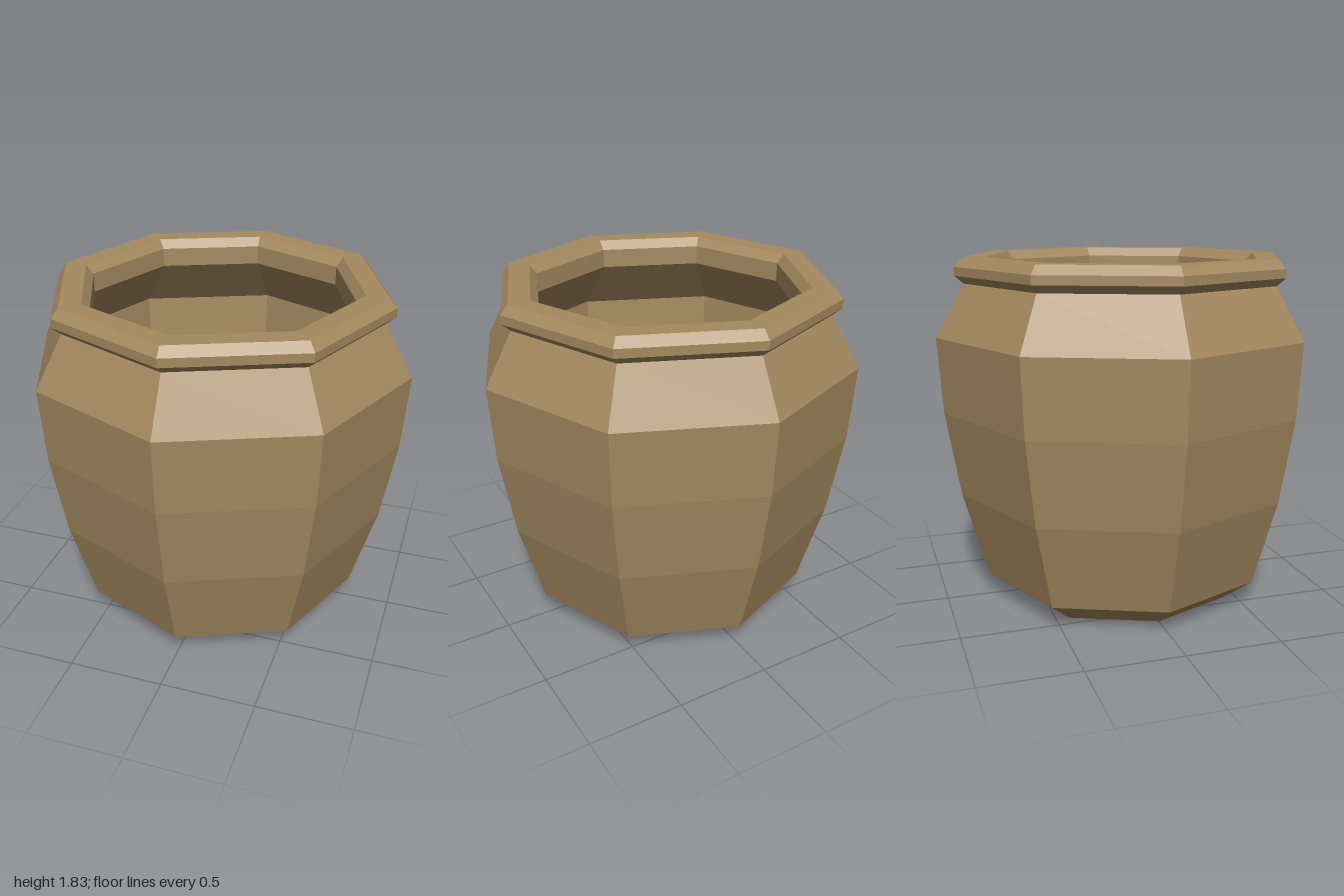
import * as THREE from 'three';

const SIDES = 8;

// Eight-sided ring surface; the profile runs up the outside and down the inside
function turned(name, profile, flatShading = true) {
  const points = profile.map(([r, y]) => new THREE.Vector2(r, y));
  const material = new THREE.MeshStandardMaterial({ color: 0xa58a60, flatShading });
  const mesh = new THREE.Mesh(new THREE.LatheGeometry(points, SIDES), material);
  mesh.name = name;
  return mesh;
}

export function createModel() {
  const pot = new THREE.Group();
  pot.name = 'pot';

  // Underside and the softly shaded chamfer above it
  pot.add(turned('base', [[0, 0], [0.61, 0]]));
  pot.add(turned('footChamfer', [[0.61, 0], [0.77, 0.12]], false));

  // Outer belly, swelling up to the shoulder and closing to the neck
  pot.add(turned('body', [
    [0.77, 0.12], [0.9, 0.58], [0.975, 1.03], [1, 1.425], [0.85, 1.695],
  ]));

  // Bevelled lip with a short inner neck
  pot.add(turned('rim', [
    [0.85, 1.695], [0.895, 1.735], [0.895, 1.78], [0.855, 1.825],
    [0.74, 1.825], [0.7, 1.78], [0.7, 1.68],
  ]));

  // Hollow inside and its floor
  pot.add(turned('innerWall', [
    [0.7, 1.68], [0.94, 1.4], [0.92, 1.03], [0.85, 0.58], [0.73, 0.12],
  ]));
  pot.add(turned('floor', [[0.73, 0.12], [0, 0.12]]));

  return pot;
}
